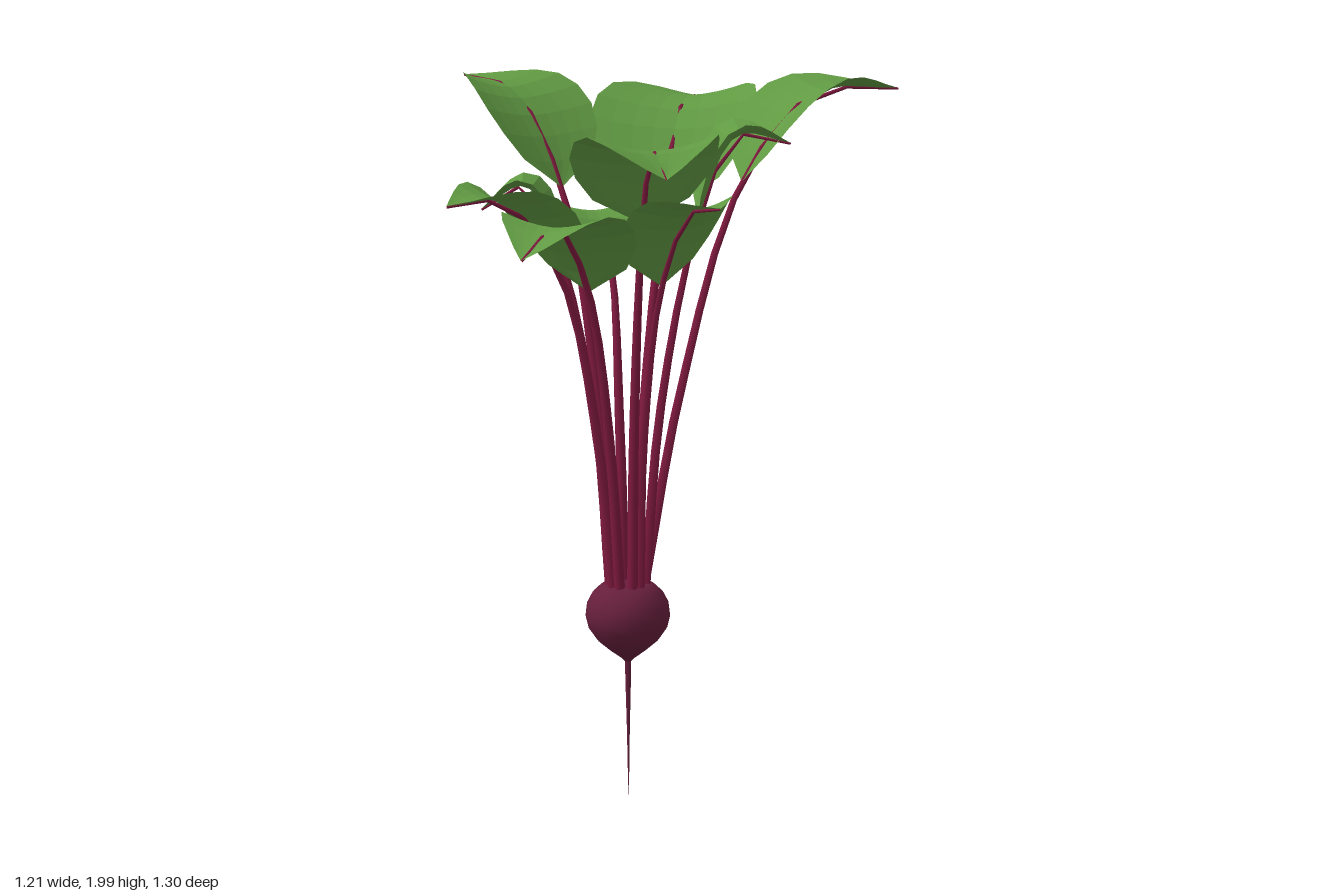
import * as THREE from 'three';

const CX = -0.12, CZ = 0.11, CROWN_Y = 0.6;

const bulbMat = new THREE.MeshStandardMaterial({ color: 0x661f3b });
bulbMat.name = 'beetRed';
const stemMat = new THREE.MeshStandardMaterial({ color: 0x821a40 });
stemMat.name = 'stemCrimson';
const leafMat = new THREE.MeshStandardMaterial({ color: 0x619a43, side: THREE.DoubleSide, flatShading: true });
leafMat.name = 'leafGreen';

// Each leaf: blade base, crest of the midrib, tip, blade width
const LEAVES = [
  { base: [-0.04, 1.61, -0.16], crest: [0.0, 1.89, -0.37], tip: [0.06, 1.89, -0.65], width: 0.47 },
  { base: [0.18, 1.70, -0.05], crest: [0.37, 1.93, -0.14], tip: [0.6, 1.94, -0.25], width: 0.39 },
  { base: [-0.31, 1.68, -0.07], crest: [-0.45, 1.93, -0.2], tip: [-0.61, 1.97, -0.335], width: 0.38 },
  { base: [-0.18, 1.48, -0.1], crest: [-0.235, 1.6, -0.23], tip: [-0.28, 1.52, -0.36], width: 0.26 },
  { base: [-0.3, 1.54, 0.12], crest: [-0.385, 1.7, 0.125], tip: [-0.5, 1.64, 0.13], width: 0.26 },
  { base: [-0.28, 1.48, 0.24], crest: [-0.41, 1.68, 0.35], tip: [-0.54, 1.68, 0.46], width: 0.37 },
  { base: [-0.2, 1.45, 0.32], crest: [-0.26, 1.63, 0.47], tip: [-0.33, 1.57, 0.65], width: 0.34 },
  { base: [0.07, 1.61, 0.075], crest: [0.17, 1.83, 0.06], tip: [0.31, 1.81, 0.04], width: 0.34 },
  { base: [-0.065, 1.62, 0.265], crest: [-0.035, 1.81, 0.35], tip: [0.01, 1.75, 0.475], width: 0.39 },
  { base: [-0.02, 1.45, 0.2], crest: [0.06, 1.65, 0.285], tip: [0.14, 1.67, 0.375], width: 0.32 },
];

// One line runs from the crown up the stalk and along the midrib
function stalkCurve({ base, crest, tip }) {
  const b = new THREE.Vector3(...base);
  const out = new THREE.Vector3(b.x - CX, 0, b.z - CZ);
  const dir = out.clone().normalize();
  const start = new THREE.Vector3(CX + dir.x * 0.048, CROWN_Y, CZ + dir.z * 0.048);
  const mid = new THREE.Vector3(CX + out.x * 0.47, CROWN_Y + (b.y - CROWN_Y) * 0.5, CZ + out.z * 0.47);
  return new THREE.CatmullRomCurve3([start, mid, b, new THREE.Vector3(...crest), new THREE.Vector3(...tip)]);
}

// Tube of a few straight lengths, narrowed towards the leaf tip
function stalkGeometry(curve) {
  const rings = 11, sides = 6;
  const geo = new THREE.TubeGeometry(curve, rings, 0.0145, sides, false);
  const pos = geo.attributes.position, v = new THREE.Vector3();
  for (let i = 0; i <= rings; i++) {
    const c = curve.getPointAt(i / rings);
    const k = 1 - 0.78 * Math.pow(i / rings, 1.9);
    for (let j = 0; j <= sides; j++) {
      const n = i * (sides + 1) + j;
      v.fromBufferAttribute(pos, n).sub(c).multiplyScalar(k).add(c);
      pos.setXYZ(n, v.x, v.y, v.z);
    }
  }
  return geo;
}

// Egg-shaped blade lofted along the midrib, with its edges cupped upwards
const OUTLINE = [0, 0.66, 0.9, 1, 0.98, 0.88, 0.7, 0.47, 0.24, 0];

function bladeGeometry(curve, { base, tip, width }) {
  const rows = OUTLINE.length - 1, cols = 8;
  const dir = new THREE.Vector3(tip[0] - base[0], 0, tip[2] - base[2]).normalize();
  const side = new THREE.Vector3(dir.z, 0, -dir.x);
  const points = [], index = [];
  for (let i = 0; i <= rows; i++) {
    const c = curve.getPoint(0.5 + 0.5 * i / rows);
    const up = curve.getTangent(0.5 + 0.5 * i / rows).cross(side).normalize();
    const half = OUTLINE[i] * width / 2;
    for (let j = 0; j <= cols; j++) {
      const u = j / cols * 2 - 1;
      const p = c.clone().addScaledVector(side, u * half)
        .addScaledVector(up, 0.002 + 0.22 * half * Math.pow(Math.abs(u), 1.6));
      points.push(p.x, p.y, p.z);
      if (i < rows && j < cols) {
        const a = i * (cols + 1) + j, b = a + cols + 1;
        // the end rows close to a point, so they need one triangle per column
        if (i > 0) index.push(a, b, a + 1);
        if (i === 0) index.push(a, b, b + 1);
        else if (i < rows - 1) index.push(a + 1, b, b + 1);
      }
    }
  }
  const geo = new THREE.BufferGeometry();
  geo.setAttribute('position', new THREE.Float32BufferAttribute(points, 3));
  geo.setIndex(index);
  geo.computeVertexNormals();
  return geo;
}

function addMesh(parent, name, geometry, material) {
  const mesh = new THREE.Mesh(geometry, material);
  mesh.name = name;
  parent.add(mesh);
  return mesh;
}

function lathe(profile, sides) {
  return new THREE.LatheGeometry(profile.map(([r, y]) => new THREE.Vector2(r, y)), sides);
}

export function createModel() {
  const model = new THREE.Group();
  model.name = 'beetroot';

  // Round root with a flat crown, and the thin taproot below
  const bulb = addMesh(model, 'bulb', lathe([
    [0.008, 0.4], [0.02, 0.412], [0.05, 0.435], [0.085, 0.466], [0.108, 0.5], [0.116, 0.533],
    [0.112, 0.566], [0.097, 0.595], [0.075, 0.616], [0.055, 0.622], [0, 0.622]], 28), bulbMat);
  const taproot = addMesh(model, 'taproot', lathe([
    [0, 0], [0.002, 0.08], [0.004, 0.2], [0.007, 0.32], [0.009, 0.41]], 8), bulbMat);
  for (const part of [bulb, taproot]) part.position.set(CX, 0, CZ);

  // Leaves on arching stalks
  LEAVES.forEach((leaf, i) => {
    const group = new THREE.Group();
    group.name = `leaf${i + 1}`;
    const curve = stalkCurve(leaf);
    addMesh(group, 'stalk', stalkGeometry(curve), stemMat);
    addMesh(group, 'blade', bladeGeometry(curve, leaf), leafMat);
    model.add(group);
  });
  return model;
}
